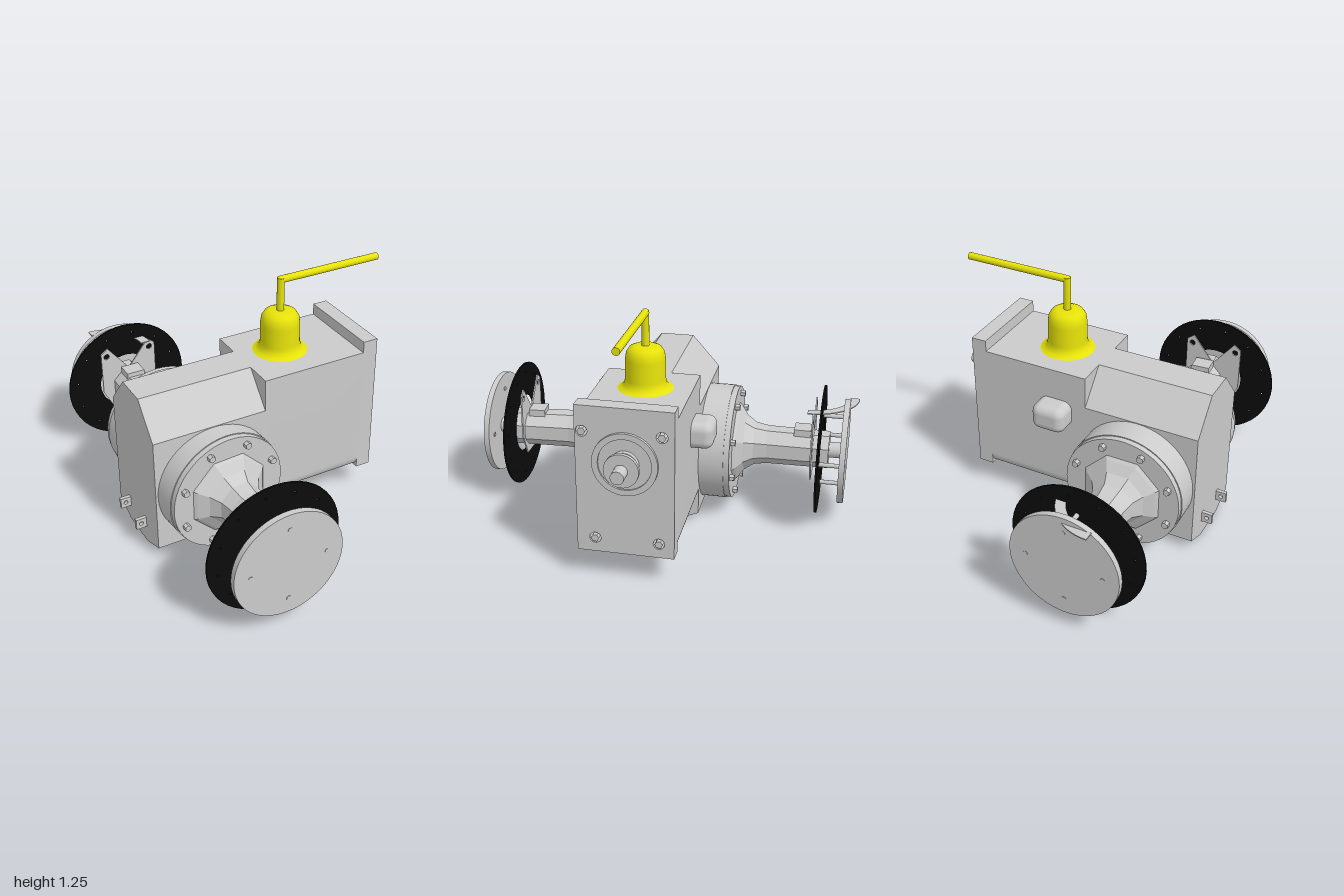
import * as THREE from 'three';
import { RoundedBoxGeometry } from 'three/addons/geometries/RoundedBoxGeometry.js';
import { toCreasedNormals } from 'three/addons/utils/BufferGeometryUtils.js';

const mat = (color, extra = {}) => new THREE.MeshStandardMaterial({ color, ...extra });
const grey = mat(0xcccccc);
const greyFlat = mat(0xcccccc, { flatShading: true });
const thin = mat(0xcccccc, { side: THREE.DoubleSide });
const black = mat(0x0c0c0c);
const yellow = mat(0xe6e20a);

function add(parent, name, geometry, material, x = 0, y = 0, z = 0) {
  const mesh = new THREE.Mesh(geometry, material);
  mesh.name = name;
  mesh.position.set(x, y, z);
  parent.add(mesh);
  return mesh;
}
const box = (w, h, d) => new THREE.BoxGeometry(w, h, d);
// Cylinders lying along z or x, spanning a..b
const cylZ = (r, a, b, n = 40) => new THREE.CylinderGeometry(r, r, b - a, n).rotateX(Math.PI / 2).translate(0, 0, (a + b) / 2);
const cylX = (r, a, b, n = 40) => new THREE.CylinderGeometry(r, r, b - a, n).rotateZ(-Math.PI / 2).translate((a + b) / 2, 0, 0);
const lathe = (pts, n) => new THREE.LatheGeometry(pts.map(p => new THREE.Vector2(...p)), n);
const extrude = (shape, depth) => new THREE.ExtrudeGeometry(shape, { depth, bevelEnabled: false, curveSegments: 24 });
const polygon = pts => new THREE.Shape(pts.map(p => new THREE.Vector2(...p)));
function punch(shape, x, y, r) {
  shape.holes.push(new THREE.Path().absarc(x, y, r, 0, Math.PI * 2, true));
  return shape;
}
function disc(r, inner) {
  const s = new THREE.Shape().absarc(0, 0, r, 0, Math.PI * 2);
  return inner ? punch(s, 0, 0, inner) : s;
}
// Extrude a (-z, y) section along x from a to b
const alongX = (shape, a, b) => toCreasedNormals(extrude(shape, b - a).rotateY(Math.PI / 2).translate(a, 0, 0), 0.5);

// One side of the axle, pointing along local +z
function makeAxle(side, tilt) {
  const axle = new THREE.Group();
  axle.name = side + 'Axle';
  const arm = new THREE.Group();
  arm.name = side + 'AxleArm';
  arm.rotation.y = tilt;
  axle.add(arm);

  // Mounting flange with raised rim and bolts
  add(arm, 'axleFlange', cylZ(0.31, -0.06, 0.13, 56), grey);
  add(arm, 'flangeRim', cylZ(0.305, 0.13, 0.16, 56), grey);
  for (let i = 0; i < 8; i++) {
    const a = (i + 0.5) * Math.PI / 4;
    add(arm, 'flangeBolt', cylZ(0.018, 0.15, 0.185, 6), greyFlat, 0.265 * Math.cos(a), 0.265 * Math.sin(a));
  }

  // Eight sided trumpet housing
  const trumpet = lathe([[0.225, 0.15], [0.2, 0.175], [0.15, 0.21], [0.115, 0.26], [0.103, 0.33], [0.1, 0.66], [0, 0.66]], 8);
  trumpet.rotateY(Math.PI / 8).rotateX(Math.PI / 2);
  add(arm, 'trumpetHousing', trumpet, greyFlat);
  add(arm, 'mountBlock', box(0.1, 0.04, 0.09), grey, 0, 0.1, 0.515);
  add(arm, 'axleShaft', cylZ(0.042, 0.64, 0.735, 24), grey);

  // Horned bracket behind the brake ring
  const bracket = polygon([[-0.1, -0.14], [0.1, -0.14], [0.16, -0.02], [0.16, 0.22], [0.12, 0.25],
    [0, 0.1], [-0.12, 0.25], [-0.16, 0.22], [-0.16, -0.02]]);
  punch(bracket, 0.128, 0.2, 0.016);
  punch(bracket, -0.128, 0.2, 0.016);
  add(axle, 'brakeBracket', extrude(bracket, 0.008), thin, 0, 0, 0.568);

  // Brake ring with small holes
  const ring = disc(0.345, 0.16);
  for (let i = 0; i < 12; i++) {
    const a = (i + 0.3) * Math.PI / 6;
    punch(ring, 0.293 * Math.cos(a), 0.293 * Math.sin(a), 0.006);
  }
  add(axle, 'brakeRing', extrude(ring, 0.01), black, 0, 0, 0.61);

  // Wheel hub disc and studs
  add(axle, 'hubDisc', cylZ(0.28, 0.725, 0.755, 64), grey);
  for (let i = 0; i < 4; i++) {
    const a = i * Math.PI / 2;
    const inner = side === 'rear' ? 0.615 : 0.72;
    add(axle, 'hubStud', cylZ(0.012, inner, 0.757, 10), grey, 0.197 * Math.cos(a), 0.197 * Math.sin(a));
  }
  return axle;
}

export function createModel() {
  const model = new THREE.Group();
  model.name = 'driveUnit';
  const midZ = 0.04;

  // Axle housing with sloped roof and chamfered sump
  const housing = polygon([[-0.14, 0], [0.07, 0], [0.2, 0.055], [0.2, 0.68], [0.05, 0.85],
    [-0.13, 0.85], [-0.28, 0.68], [-0.28, 0.055]]);
  add(model, 'axleHousing', alongX(housing, -0.68, -0.075), grey);

  // Gearbox with rounded lower edges
  const gear = new THREE.Shape();
  gear.moveTo(-0.28, 0.85);
  gear.lineTo(-0.28, 0.215);
  gear.quadraticCurveTo(-0.28, 0.145, -0.21, 0.145);
  gear.lineTo(0.13, 0.145);
  gear.quadraticCurveTo(0.2, 0.145, 0.2, 0.215);
  gear.lineTo(0.2, 0.85);
  add(model, 'gearbox', alongX(gear, -0.076, 0.495), grey);
  add(model, 'sideBump', new RoundedBoxGeometry(0.18, 0.14, 0.2, 5, 0.045), grey, 0.09, 0.615, -0.21);

  // End plate with bolt holes
  const plate = polygon([[-0.28, 0.145], [0.2, 0.145], [0.2, 0.91], [-0.28, 0.91]]);
  const bolts = [[0.245, 0.78], [-0.14, 0.78], [0.19, 0.22], [-0.125, 0.22]];
  bolts.forEach(([z, y]) => punch(plate, -z, y, 0.028));
  add(model, 'endPlate', alongX(plate, 0.49, 0.57), grey);
  bolts.forEach(([z, y]) => add(model, 'plateBolt', cylX(0.02, 0.5, 0.578, 6), greyFlat, 0, y, z));

  // Input shaft and seal rings
  const shaft = new THREE.Group();
  shaft.name = 'inputShaft';
  shaft.position.set(0, 0.63, midZ - 0.003);
  model.add(shaft);
  const seal = disc(0.16, 0.13);
  add(shaft, 'sealRim', alongX(seal, 0.56, 0.585), grey);
  add(shaft, 'sealFace', cylX(0.135, 0.56, 0.576), grey);
  add(shaft, 'shaftCollar', cylX(0.07, 0.57, 0.6), grey);
  add(shaft, 'shaftRod', cylX(0.033, 0.57, 0.725, 28), grey);
  add(shaft, 'shaftDisc', cylX(0.085, 0.632, 0.652), grey);

  // Shift tower and bent lever
  const tower = lathe([[0.14, 0.85], [0.12, 0.858], [0.107, 0.875], [0.101, 0.9], [0.1, 1.0],
    [0.095, 1.035], [0.08, 1.059], [0.055, 1.07], [0, 1.071]], 40);
  add(model, 'shiftTower', tower, yellow, 0.145, 0, midZ - 0.005);
  add(model, 'leverPost', new THREE.CylinderGeometry(0.019, 0.019, 0.185, 20), yellow, 0.145, 1.1525, midZ - 0.005);
  add(model, 'leverElbow', new THREE.SphereGeometry(0.019, 20, 12), yellow, 0.145, 1.235, midZ - 0.005);
  add(model, 'leverArm', cylX(0.019, 0.14, 0.71, 20), yellow, 0, 1.235, midZ - 0.005);

  // Lugs at the lower end of the housing
  const lug = punch(polygon([[-0.735, 0.095], [-0.67, 0.095], [-0.67, 0.152], [-0.735, 0.152]]), -0.708, 0.124, 0.011);
  [-0.075, 0.12].forEach(z => add(model, 'housingLug', extrude(lug, 0.02), grey, 0, 0, z));

  // Axles on both sides
  const front = makeAxle('front', 0.075);
  front.position.set(-0.36, 0.367, 0.245);
  const rear = makeAxle('rear', 0);
  rear.position.set(-0.36, 0.367, -0.2);
  rear.rotation.y = Math.PI;
  model.add(front, rear);

  // Thin curved guard strip over the rear hub
  const strip = new THREE.Shape();
  strip.absarc(0, 0, 0.26, 0, Math.PI / 2);
  strip.absarc(0, 0, 0.21, Math.PI / 2, 0, true);
  add(model, 'guardStrip', extrude(strip, 0.006).rotateX(-Math.PI / 2), thin, -0.5, 0.612, -0.74);
  return model;
}
